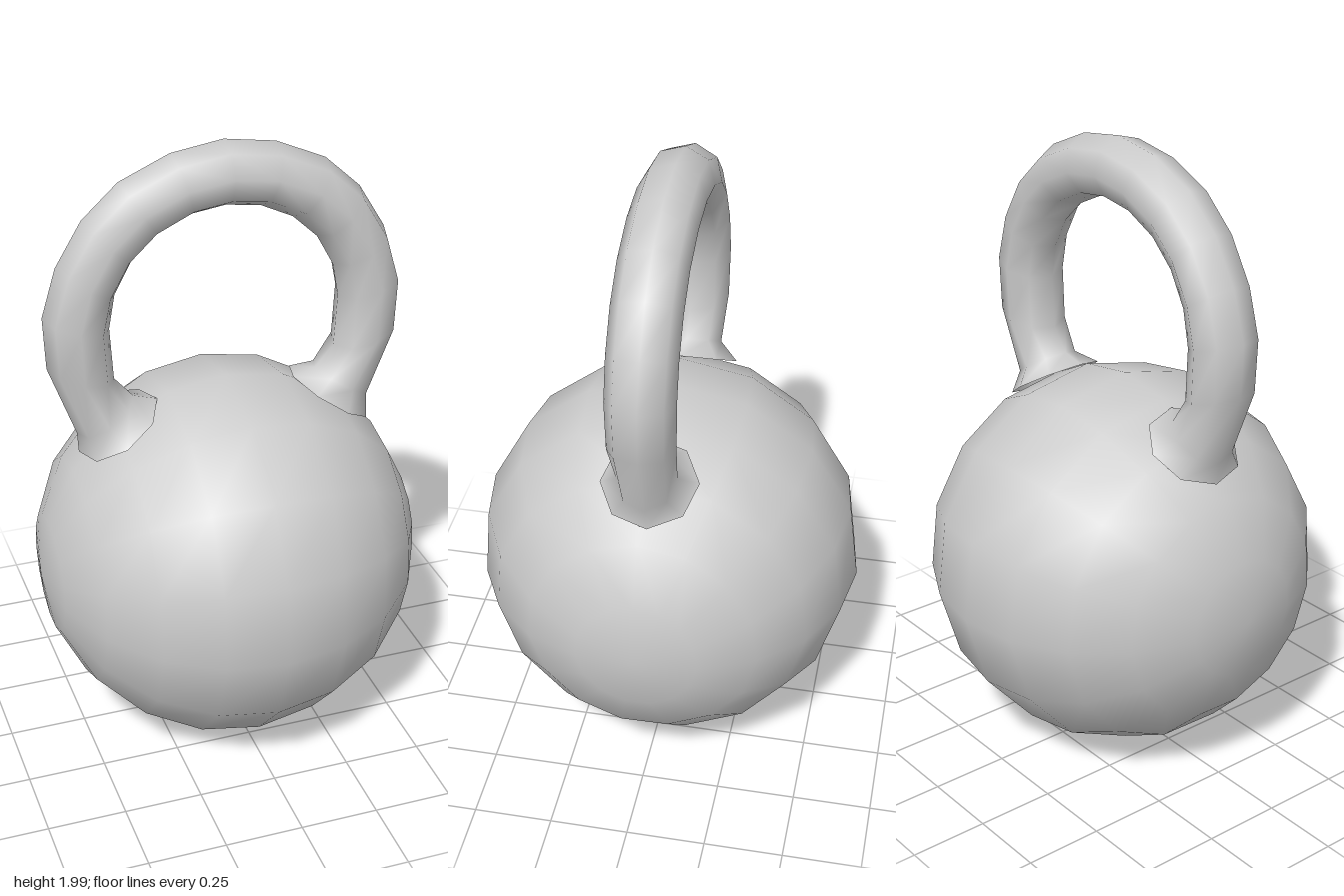
import * as THREE from 'three';

const SIDES = 8;

// Handle cross-sections, foot to crown: [outer x, outer y, inner x, inner y, half depth]
const HALF_HANDLE = [
  [0.475, 1.03, 0.225, 1.19, 0.152],
  [0.48, 1.1, 0.3, 1.21, 0.092],
  [0.565, 1.335, 0.36, 1.28, 0.103],
  [0.572, 1.505, 0.37, 1.45, 0.105],
  [0.525, 1.66, 0.35, 1.56, 0.105],
  [0.44, 1.8, 0.295, 1.66, 0.105],
  [0.325, 1.905, 0.215, 1.735, 0.105],
  [0.165, 1.975, 0.11, 1.785, 0.105],
  [0, 2, 0, 1.8, 0.105],
];

// Skin a run of elliptical rings into one smooth tube
function loftHandle(rings) {
  const positions = [], index = [];
  rings.forEach(([ox, oy, ix, iy, depth], i) => {
    for (let j = 0; j < SIDES; j++) {
      const a = (j / SIDES) * Math.PI * 2 - 0.1;
      const t = (1 + Math.cos(a)) / 2;
      positions.push(ix + (ox - ix) * t, iy + (oy - iy) * t, depth * Math.sin(a));
      if (i === rings.length - 1) continue;
      const p = i * SIDES + j, q = i * SIDES + ((j + 1) % SIDES);
      index.push(p, p + SIDES, q, q, p + SIDES, q + SIDES);
    }
  });
  const geometry = new THREE.BufferGeometry();
  geometry.setAttribute('position', new THREE.Float32BufferAttribute(positions, 3));
  geometry.setIndex(index);
  geometry.computeVertexNormals();
  return geometry;
}

export function createModel() {
  const group = new THREE.Group();
  group.name = 'kettlebell';

  // Round weight, with its poles on the x axis
  const ballGeometry = new THREE.SphereGeometry(0.62, 15, 10);
  ballGeometry.rotateZ(-Math.PI / 2).rotateX(0.023);
  const ball = new THREE.Mesh(ballGeometry, new THREE.MeshStandardMaterial({ color: 0xcccccc }));
  ball.name = 'ball';
  ball.position.y = 0.615;
  group.add(ball);

  // Looped handle with flared, open feet resting on the ball
  const mirrored = HALF_HANDLE.slice(0, -1).reverse()
    .map(([ox, oy, ix, iy, depth]) => [-ox, oy, -ix, iy, depth]);
  const handle = new THREE.Mesh(
    loftHandle([...HALF_HANDLE, ...mirrored]),
    new THREE.MeshStandardMaterial({ color: 0xcccccc, side: THREE.DoubleSide })
  );
  handle.name = 'handle';
  group.add(handle);

  return group;
}
